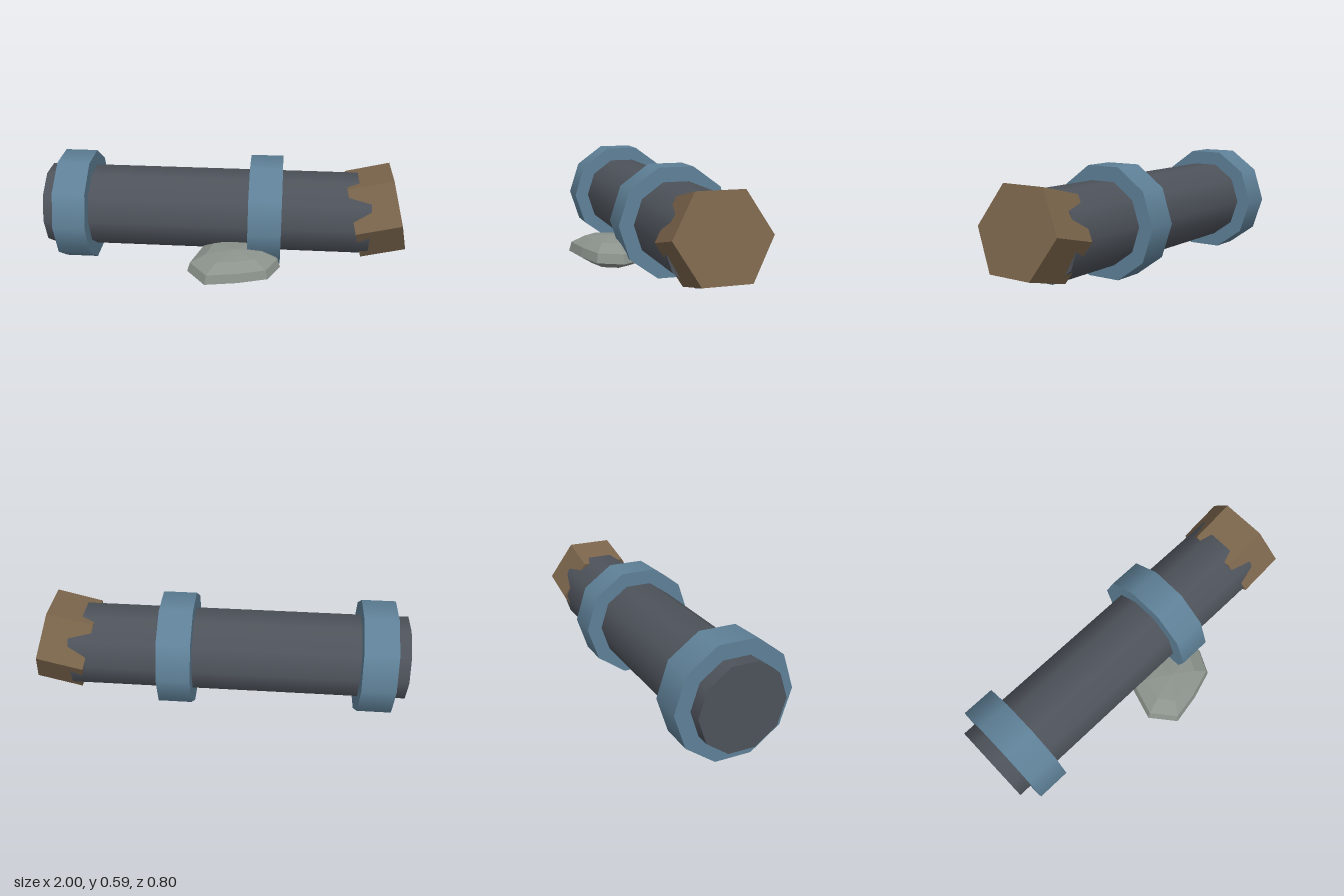
import * as THREE from 'three';

const material = (name, color) => {
  const m = new THREE.MeshStandardMaterial({ color });
  m.name = name;
  return m;
};

export function createModel() {
  const group = new THREE.Group();
  const steel = material('dark steel', 0x4e535b);
  const blue = material('blue metal', 0x5f8198);
  const wood = material('brown wood', 0x7a644b);
  const stone = material('grey stone', 0x8c938c);

  const add = (name, geometry, mat) => {
    const mesh = new THREE.Mesh(geometry, mat);
    mesh.name = name;
    group.add(mesh);
    return mesh;
  };

  // Prism lying along x, with its first corner towards +z
  const lying = (name, radius, length, sides, x, y, mat, tilt = 0) => {
    let geometry = new THREE.CylinderGeometry(radius, radius, length, sides);
    if (sides < 8) {
      geometry = geometry.toNonIndexed();
      geometry.computeVertexNormals();
    }
    const mesh = add(name, geometry, mat);
    mesh.rotation.z = -Math.PI / 2 + tilt;
    mesh.position.set(x, y, -0.09);
  };

  // Barrel and its two collars
  lying('barrel', 0.228, 1.787, 10, -0.1065, 0.295, steel);
  lying('rearCollar', 0.309, 0.178, 10, -0.838, 0.295, blue);
  lying('frontCollar', 0.309, 0.178, 10, 0.2185, 0.295, blue);

  // Crooked hexagonal plug, pushed into the end of the barrel
  lying('plug', 0.245, 0.25, 6, 0.828, 0.319, wood, 0.24);

  // Flat pebble: a squashed coarse sphere following an uneven outline (x, z)
  const outline = [
    [0.31, 0.19], [0.245, 0.32], [0.085, 0.37], [-0.085, 0.4],
    [-0.19, 0.27], [-0.13, 0.07], [0.06, 0.0], [0.23, 0.05],
  ];
  const n = outline.length;
  const rows = 5;
  const cx = 0.06, cz = 0.2;
  const positions = [];
  const index = [];
  for (let r = 0; r <= rows; r++) {
    const a = (r / rows) * Math.PI;
    const scale = Math.sin(a) / 0.951 * (r === 2 ? 0.94 : 1);
    for (const [x, z] of outline) {
      positions.push(cx + (x - cx) * scale, 0.117 + 0.082 * Math.cos(a), cz + (z - cz) * scale);
    }
  }
  for (let r = 0; r < rows; r++) {
    for (let i = 0; i < n; i++) {
      const a = r * n + i, b = r * n + ((i + 1) % n);
      if (r < rows - 1) index.push(a, b + n, a + n);
      if (r > 0) index.push(a, b, b + n);
    }
  }
  const shell = new THREE.BufferGeometry();
  shell.setAttribute('position', new THREE.Float32BufferAttribute(positions, 3));
  shell.setIndex(index);
  const pebble = shell.toNonIndexed();
  pebble.computeVertexNormals();
  add('pebble', pebble, stone);

  return group;
}
